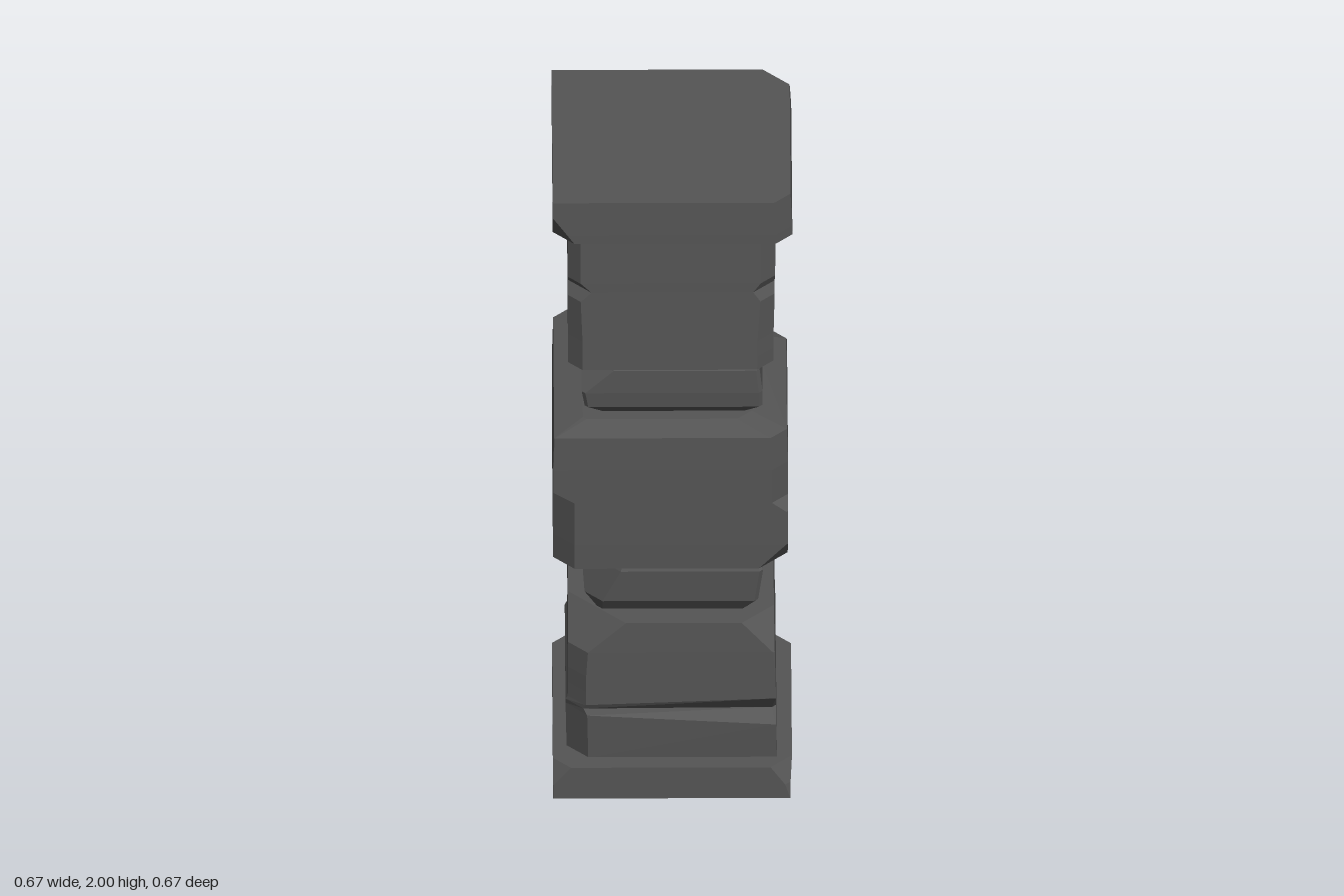
import * as THREE from 'three';

const stone = new THREE.MeshStandardMaterial({ color: 0x555555, flatShading: true });

// One chamfered square cross-section.
// cut = corner chamfers [front right, back right, back left, front left] (right = +x)
// tx tilts the section along x, dip lowers its back right corner, skew slants its front edge.
function ring([y, x0, x1, z0, z1, cut, { tx = 0, dip = 0, skew = 0 } = {}]) {
  const [fr, br, bl, fl] = cut.map((c) => Math.max(c, 0.001));
  return [
    [x1 - fr, z1], [x1, z1 - fr],
    [x1, z0 + br], [x1 - br, z0],
    [x0 + bl, z0], [x0, z0 + bl],
    [x0, z1 - fl], [x0 + fl, z1],
  ].map(([x, z]) => [
    x,
    y + tx * x - (x > 0 && z < 0 ? dip : 0),
    z > 0.1 ? z + skew * x : z,
  ]);
}

// Loft a stone through its sections, bottom to top, and close both ends.
function block(name, sections) {
  const rings = sections.map(ring);
  const pos = [];
  const tri = (a, b, c) => pos.push(...a, ...b, ...c);
  for (let k = 0; k + 1 < rings.length; k++) {
    const lo = rings[k], hi = rings[k + 1];
    for (let i = 0; i < 8; i++) {
      const j = (i + 1) % 8;
      tri(lo[i], lo[j], hi[j]);
      tri(lo[i], hi[j], hi[i]);
    }
  }
  const bottom = rings[0], top = rings[rings.length - 1];
  for (let i = 1; i < 7; i++) {
    tri(bottom[0], bottom[i + 1], bottom[i]);
    tri(top[0], top[i], top[i + 1]);
  }
  const geo = new THREE.BufferGeometry();
  geo.setAttribute('position', new THREE.Float32BufferAttribute(pos, 3));
  geo.computeVertexNormals();
  const mesh = new THREE.Mesh(geo, stone);
  mesh.name = name;
  return mesh;
}

export function createModel() {
  const group = new THREE.Group();
  group.name = 'stonePillar';

  group.add(
    // Square foot with a chipped front corner
    block('basePlinth', [
      [0, -0.333, 0.328, -0.333, 0.328, [0, 0.045, 0.04, 0]],
      [0.045, -0.333, 0.328, -0.333, 0.328, [0.015, 0.045, 0.04, 0]],
      [0.103, -0.333, 0.332, -0.333, 0.328, [0.06, 0.045, 0.04, 0.05]],
    ]),

    // Lower shaft: crack across the front, nicks on both back corners
    block('lowerShaft', [
      [0.10, -0.295, 0.29, -0.287, 0.275, [0, 0.045, 0.045, 0.06]],
      [0.235, -0.298, 0.288, -0.287, 0.285, [0, 0.045, 0.045, 0.06], { tx: -0.06 }],
      [0.258, -0.298, 0.287, -0.287, 0.26, [0.01, 0.05, 0.05, 0.05], { tx: -0.04, skew: -0.07 }],
      [0.294, -0.292, 0.288, -0.287, 0.285, [0, 0.05, 0.05, 0.05], { tx: 0.04 }],
      [0.33, -0.291, 0.287, -0.287, 0.285, [0, 0.085, 0.085, 0.05]],
      [0.38, -0.291, 0.286, -0.287, 0.285, [0, 0.045, 0.045, 0.05]],
      [0.46, -0.291, 0.284, -0.287, 0.285, [0.005, 0.045, 0.045, 0.055]],
      [0.558, -0.29, 0.282, -0.287, 0.283, [0.09, 0.045, 0.045, 0.16]],
    ]),

    // Bulging stone between the lower shaft and the middle block
    block('lowerNeck', [
      [0.55, -0.205, 0.2, -0.2, 0.205, [0.01, 0, 0.02, 0.01]],
      [0.605, -0.245, 0.238, -0.248, 0.243, [0.01, 0, 0.02, 0.05]],
      [0.71, -0.254, 0.252, -0.25, 0.252, [0.01, 0, 0.02, 0.11]],
      [0.77, -0.222, 0.225, -0.23, 0.225, [0.01, 0, 0.02, 0.09]],
    ]),

    // Wide middle block with sloped ends and chipped corners
    block('middleBlock', [
      [0.753, -0.24, 0.23, -0.23, 0.23, [0.05, 0.01, 0.04, 0.04]],
      [0.769, -0.333, 0.32, -0.328, 0.324, [0.08, 0, 0.05, 0.06]],
      [0.85, -0.333, 0.321, -0.328, 0.326, [0.005, 0, 0.05, 0.06]],
      [0.96, -0.333, 0.321, -0.328, 0.326, [0.005, 0, 0.05, 0.06]],
      [0.99, -0.333, 0.321, -0.328, 0.326, [0.045, 0, 0.05, 0.06]],
      [1.025, -0.333, 0.321, -0.328, 0.326, [0.045, 0, 0.05, 0]],
      [1.10, -0.333, 0.321, -0.328, 0.326, [0.045, 0.005, 0.05, 0]],
      [1.207, -0.33, 0.318, -0.328, 0.324, [0.045, 0.12, 0.05, 0], { dip: 0.025 }],
      [1.222, -0.25, 0.22, -0.26, 0.25, [0.04, 0.09, 0.04, 0.01]],
    ]),

    // Bulging stone under the upper shaft
    block('upperNeck', [
      [1.212, -0.195, 0.2, -0.2, 0.2, [0.01, 0, 0.02, 0.01]],
      [1.26, -0.245, 0.25, -0.25, 0.247, [0.01, 0, 0.02, 0.01]],
      [1.31, -0.253, 0.25, -0.25, 0.252, [0.01, 0, 0.02, 0.01]],
      [1.385, -0.254, 0.242, -0.25, 0.253, [0.01, 0, 0.02, 0.09]],
      [1.425, -0.225, 0.22, -0.235, 0.225, [0.01, 0, 0.02, 0.06]],
    ]),

    // Upper shaft with nicks around its corners
    block('upperShaft', [
      [1.415, -0.291, 0.28, -0.287, 0.292, [0.045, 0, 0.12, 0.04]],
      [1.46, -0.291, 0.281, -0.287, 0.291, [0.045, 0, 0.05, 0.04]],
      [1.51, -0.291, 0.281, -0.287, 0.29, [0.045, 0, 0, 0.04]],
      [1.64, -0.291, 0.284, -0.287, 0.286, [0.04, 0, 0, 0.035]],
      [1.67, -0.291, 0.284, -0.287, 0.285, [0.06, 0.045, 0, 0.065]],
      [1.70, -0.291, 0.285, -0.287, 0.285, [0.04, 0, 0, 0.035]],
      [1.875, -0.291, 0.288, -0.287, 0.281, [0.04, 0, 0, 0.035]],
    ]),

    // Square cap with a large chip at the back right
    block('topCap', [
      [1.866, -0.334, 0.333, -0.334, 0.332, [0.045, 0, 0, 0.06]],
      [1.895, -0.334, 0.332, -0.334, 0.332, [0.045, 0.005, 0, 0.04]],
      [1.95, -0.334, 0.33, -0.334, 0.33, [0.045, 0.04, 0, 0]],
      [2, -0.334, 0.328, -0.334, 0.328, [0.045, 0.075, 0, 0]],
    ]),
  );
  return group;
}
